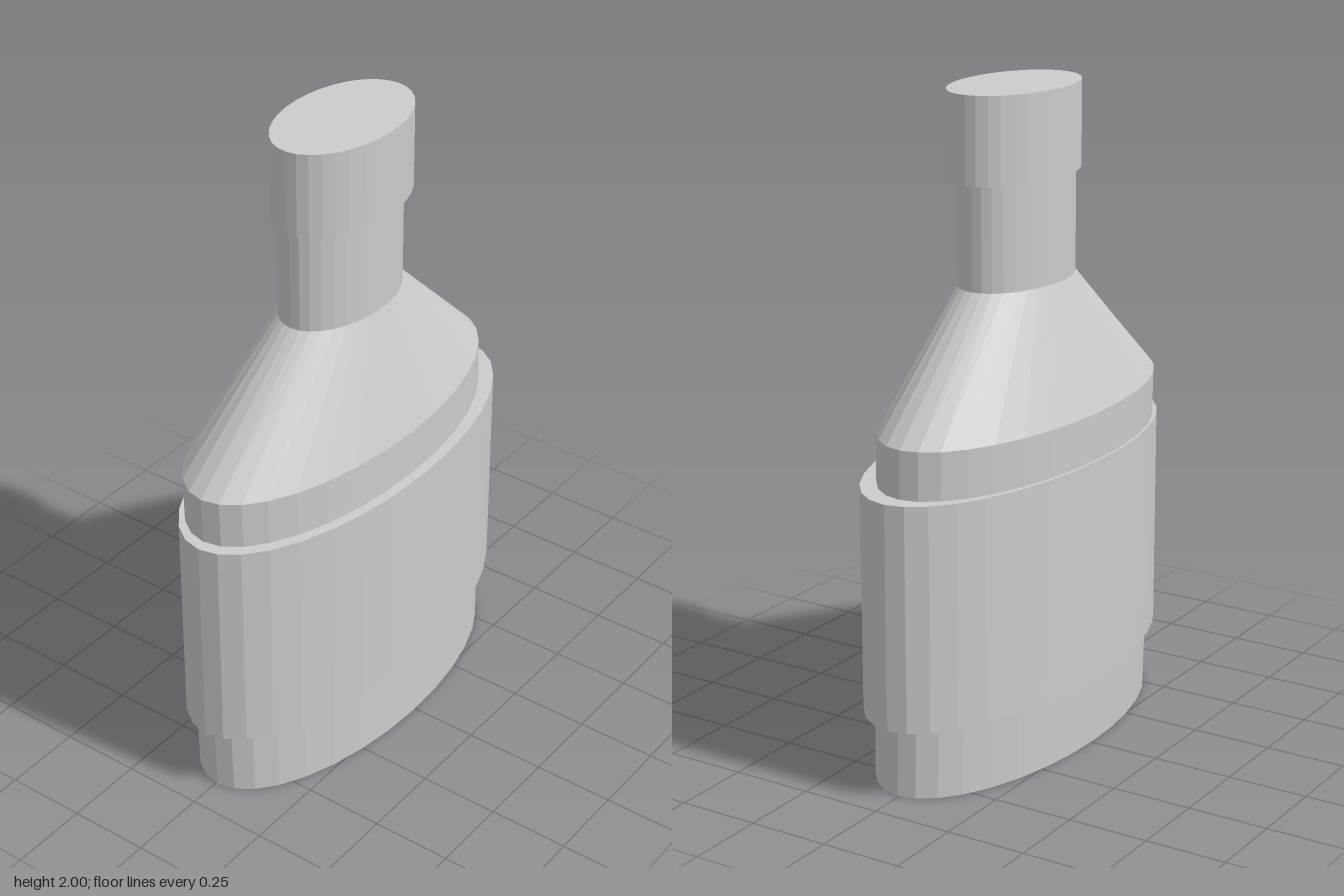
import * as THREE from 'three';

const material = new THREE.MeshStandardMaterial({ color: 0xcccccc, flatShading: true });

// Closed oval section lofted between two ellipses: { y, rx, rz, x, z }
function ovalSection(name, bottom, top) {
  const geometry = new THREE.CylinderGeometry(1, 1, 1, 32);
  const p = geometry.attributes.position;
  for (let i = 0; i < p.count; i++) {
    const e = p.getY(i) > 0 ? top : bottom;
    p.setXYZ(i, e.x + p.getX(i) * e.rx, e.y, e.z + p.getZ(i) * e.rz);
  }
  geometry.computeVertexNormals();
  const mesh = new THREE.Mesh(geometry, material);
  mesh.name = name;
  return mesh;
}

const ellipse = (y, rx, rz, x = 0, z = 0) => ({ y, rx, rz, x, z });

export function createModel() {
  const group = new THREE.Group();
  group.name = 'ovalBottle';

  // Rings shared by neighbouring sections; the body leans very slightly
  const base = ellipse(0, 0.28, 0.638, 0.006, 0.007);
  const shoulderLow = ellipse(1.055, 0.28, 0.638, -0.014, 0.012);
  const shoulderHigh = ellipse(1.425, 0.143, 0.238, -0.003, 0.003);
  const neckTop = ellipse(1.74, 0.143, 0.238, -0.003, 0.003);

  group.add(
    ovalSection('body', base, shoulderLow),
    ovalSection('shoulder', shoulderLow, shoulderHigh),
    ovalSection('neck', shoulderHigh, neckTop),
    // Wide sleeve around the body
    ovalSection('labelBand', ellipse(0.225, 0.3, 0.686), ellipse(0.91, 0.3, 0.686)),
    ovalSection('cap', ellipse(1.74, 0.164, 0.262, 0.002), ellipse(2, 0.164, 0.262, 0.002))
  );
  return group;
}
